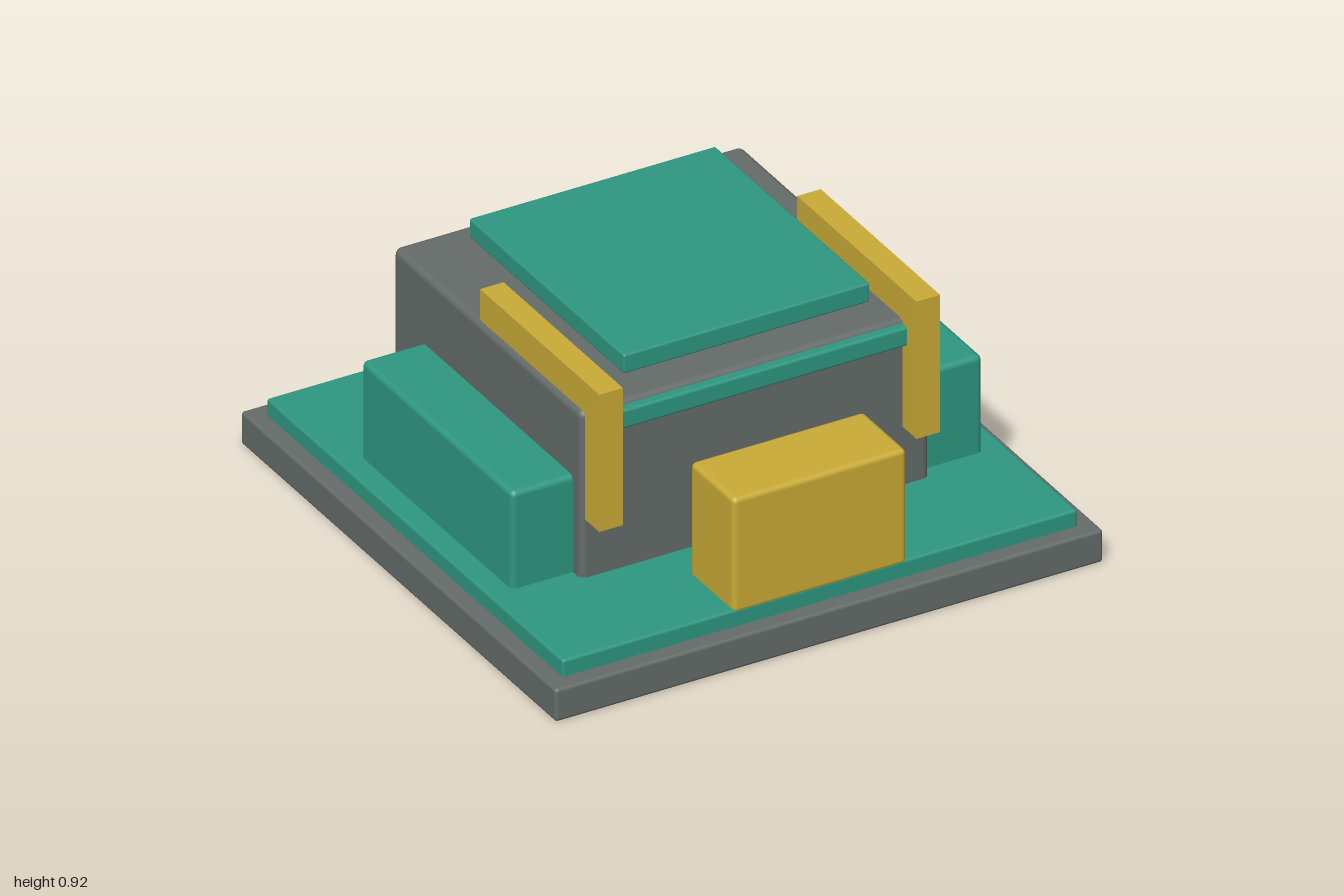
import * as THREE from 'three';
import { RoundedBoxGeometry } from 'three/addons/geometries/RoundedBoxGeometry.js';

export function createModel() {
  const model = new THREE.Group();
  model.name = 'model';

  const mat = (name, color) => {
    const m = new THREE.MeshStandardMaterial({ color });
    m.name = name;
    return m;
  };
  const grey = mat('stone grey', 0x646c69);
  const teal = mat('teal', 0x2e9780);
  const gold = mat('gold', 0xcaab36);

  // Bevelled box given by its limits on each axis
  function block(name, material, [x0, x1], [y0, y1], [z0, z1], bevel) {
    const geo = new RoundedBoxGeometry(x1 - x0, y1 - y0, z1 - z0, 2, bevel);
    const mesh = new THREE.Mesh(geo, material);
    mesh.name = name;
    mesh.position.set((x0 + x1) / 2, (y0 + y1) / 2, (z0 + z1) / 2);
    model.add(mesh);
  }

  // Stepped base
  block('base', grey, [-1, 1], [0, 0.12], [-1, 1], 0.012);
  block('basePlate', teal, [-0.94, 0.94], [0.1, 0.18], [-0.94, 0.94], 0.01);

  // Main body, front trim and the raised roof panel
  block('body', grey, [-0.637, 0.637], [0.13, 0.79], [-0.665, 0.53], 0.025);
  block('frontTrim', teal, [-0.55, 0.55], [0.705, 0.775], [0.48, 0.56], 0.01);
  block('roofPanel', teal, [-0.45, 0.45], [0.85, 0.92], [-0.507, 0.475], 0.008);

  // Front step
  block('frontBlock', gold, [-0.317, 0.317], [0.165, 0.588], [0.665, 0.941], 0.018);

  // L-shaped bracket profile, drawn with z along the shape's x
  const profile = new THREE.Shape([
    [-0.137, 0.785], [0.53, 0.785], [0.53, 0.395],
    [0.62, 0.395], [0.62, 0.9], [-0.137, 0.9],
  ].map(([z, y]) => new THREE.Vector2(z, y)));
  const bracketWidth = 0.086;
  const bracketGeo = new THREE.ExtrudeGeometry(profile, { depth: bracketWidth, bevelEnabled: false });
  bracketGeo.translate(0, 0, -bracketWidth / 2);
  bracketGeo.rotateY(-Math.PI / 2);

  // Side pods and brackets, mirrored
  for (const [side, s] of [['left', 1], ['right', -1]]) {
    const xs = [0.6 * s, 0.86 * s].sort((a, b) => a - b);
    block(side + 'Pod', teal, xs, [0.15, 0.535], [-0.478, 0.478], 0.02);

    const bracket = new THREE.Mesh(bracketGeo, gold);
    bracket.name = side + 'Bracket';
    bracket.position.x = 0.579 * s;
    model.add(bracket);
  }

  return model;
}
